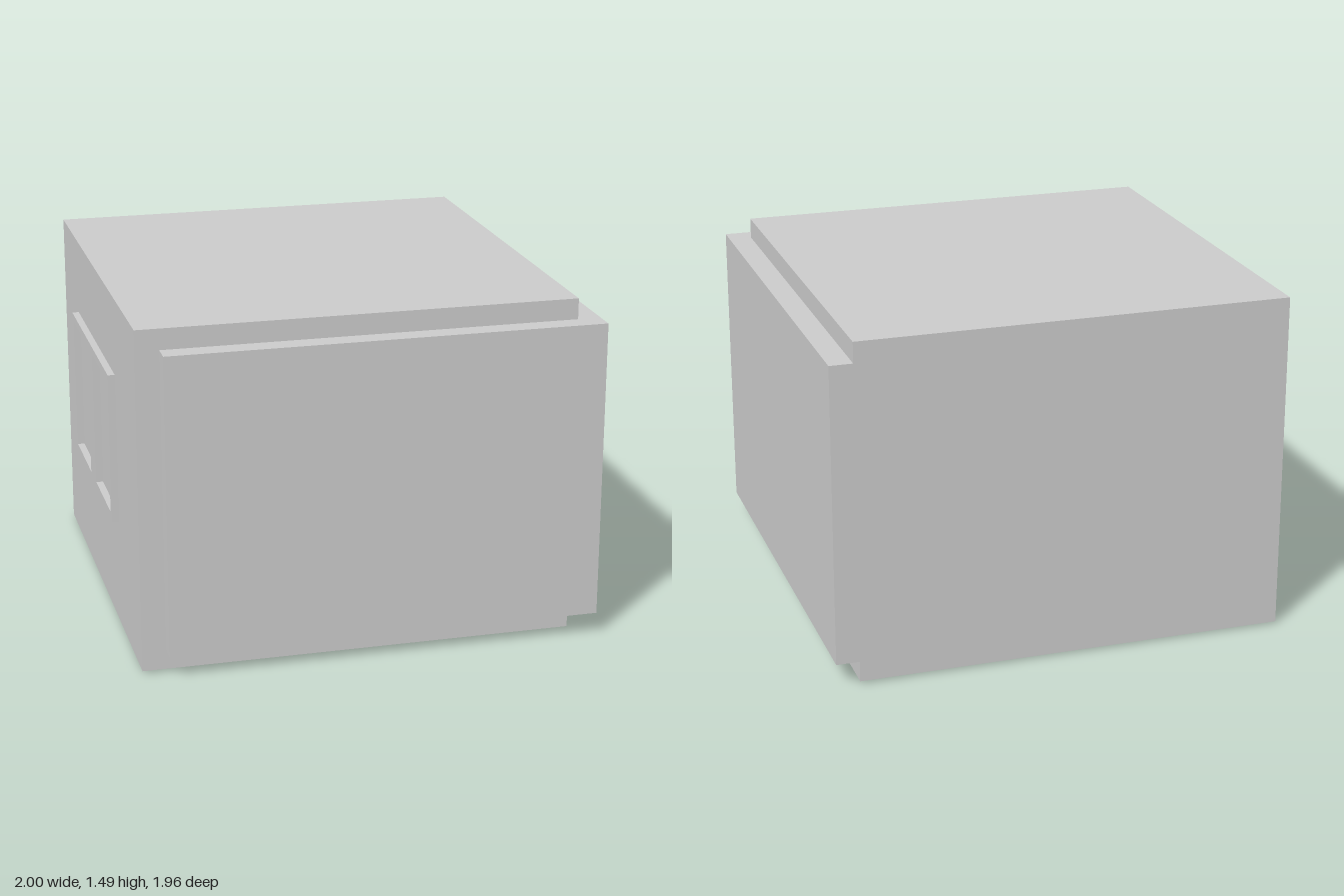
import * as THREE from 'three';

const material = new THREE.MeshStandardMaterial({ color: 0xcccccc, flatShading: true });

function add(parent, name, geometry) {
  const mesh = new THREE.Mesh(geometry, material);
  mesh.name = name;
  parent.add(mesh);
  return mesh;
}

// Box given by its extents on each axis
function slab(parent, name, [x0, x1], [y0, y1], [z0, z1]) {
  const mesh = add(parent, name, new THREE.BoxGeometry(x1 - x0, y1 - y0, z1 - z0));
  mesh.position.set((x0 + x1) / 2, (y0 + y1) / 2, (z0 + z1) / 2);
}

function rectangle(target, x0, x1, y0, y1) {
  target.moveTo(x0, y0);
  target.lineTo(x1, y0);
  target.lineTo(x1, y1);
  target.lineTo(x0, y1);
  target.closePath();
  return target;
}

// Two-light window frame, standing proud of the right wall
function windowFrame() {
  const shape = rectangle(new THREE.Shape(), -0.585, 0.39, 0.49, 1.15);
  for (const [z0, z1] of [[-0.545, -0.16], [-0.02, 0.36]])
    shape.holes.push(rectangle(new THREE.Path(), z0, z1, 0.525, 1.115));
  const geometry = new THREE.ExtrudeGeometry(shape, { depth: 0.03, bevelEnabled: false });
  return geometry.rotateY(-Math.PI / 2).translate(-0.97, 0, 0);
}

// Five-star swivel base whose casters just break through the floor
function swivelBase() {
  const base = new THREE.Group();
  base.name = 'swivelBase';
  base.position.set(0.4, 0, -0.5);
  for (let i = 0; i < 5; i++) {
    const arm = new THREE.Group();
    arm.name = 'baseArm';
    arm.rotation.y = Math.PI + (i * 2 * Math.PI) / 5;
    const caster = add(arm, 'caster', new THREE.CylinderGeometry(0.06, 0.06, 0.014, 24).rotateX(Math.PI / 2));
    caster.position.set(0.1, 0.06, 0);
    slab(arm, 'spoke', [0, 0.1], [0.12, 0.135], [-0.01, 0.01]);
    base.add(arm);
  }
  const column = add(base, 'column', new THREE.CylinderGeometry(0.015, 0.015, 0.25, 16));
  column.position.y = 0.245;
  return base;
}

export function createModel() {
  const room = new THREE.Group();
  room.name = 'room';

  // Floor and ceiling
  slab(room, 'floor', [-0.97, 0.9], [0.01, 0.1], [-0.98, 0.89]);
  slab(room, 'ceiling', [-0.97, 0.9], [1.4, 1.49], [-0.98, 0.89]);

  // Walls, staggered at the corners
  slab(room, 'rightWall', [-0.97, -0.87], [0.1, 1.4], [-0.98, 0.89]);
  slab(room, 'backWall', [-0.87, 0.9], [0.1, 1.4], [-0.98, -0.89]);
  slab(room, 'leftWall', [0.9, 1], [0.1, 1.4], [-0.98, 0.89]);
  slab(room, 'frontWall', [-0.87, 1], [0.1, 1.4], [0.89, 0.98]);

  add(room, 'windowFrame', windowFrame());
  room.add(swivelBase());
  return room;
}
